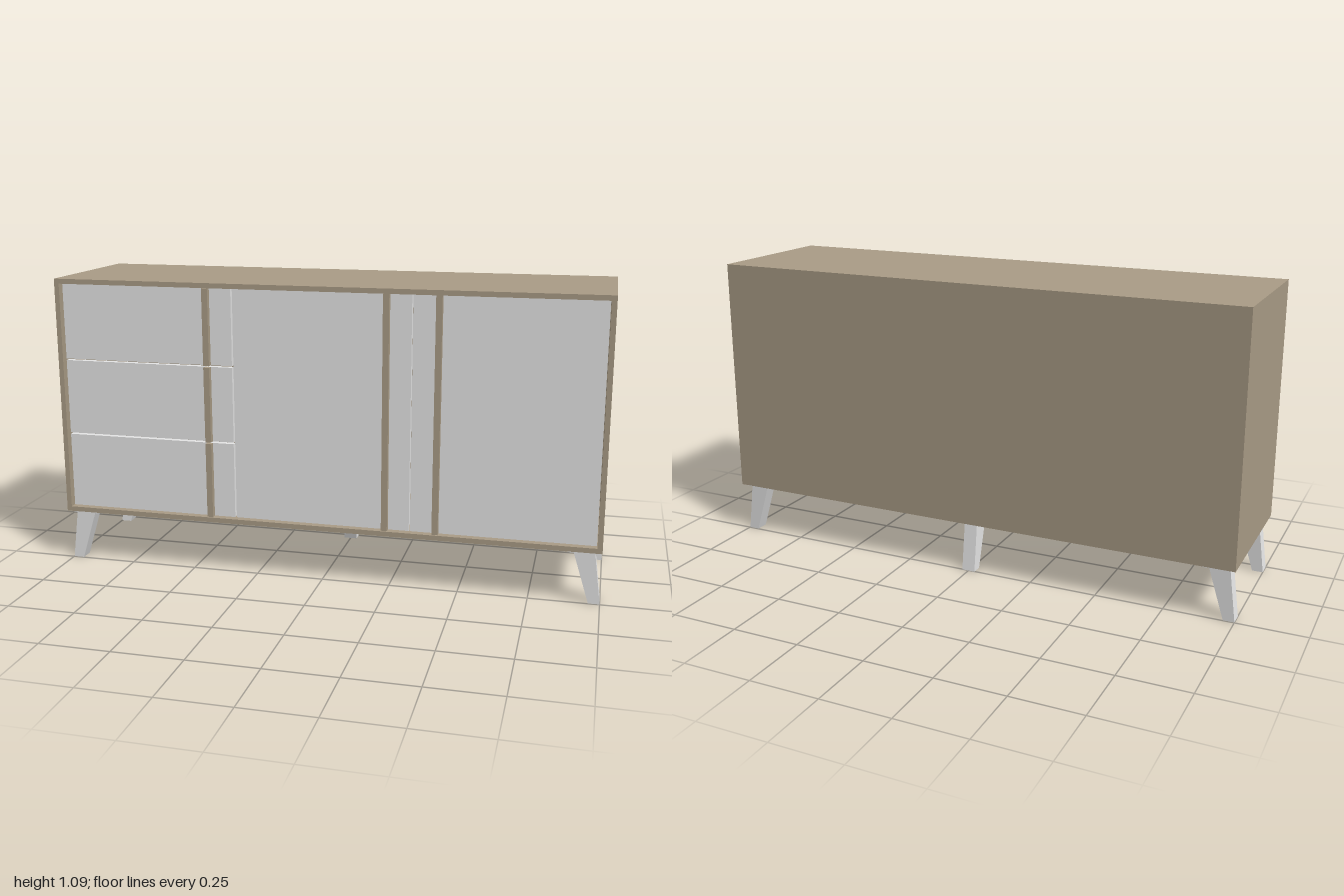
import * as THREE from 'three';

const wood = new THREE.MeshStandardMaterial({ color: 0xab9d87 });
wood.name = 'wood';
const white = new THREE.MeshStandardMaterial({ color: 0xf4f4f4 });
white.name = 'white';

// Box given by its extents along each axis
function slab(name, material, [x0, x1], [y0, y1], [z0, z1]) {
  const mesh = new THREE.Mesh(new THREE.BoxGeometry(x1 - x0, y1 - y0, z1 - z0), material);
  mesh.position.set((x0 + x1) / 2, (y0 + y1) / 2, (z0 + z1) / 2);
  mesh.name = name;
  return mesh;
}

// Tapered leg splayed towards local +x, with its mounting plate
function makeLeg(name, x, z, turn) {
  const leg = new THREE.Group();
  leg.name = name;
  const shape = new THREE.Shape();
  shape.moveTo(0.03, 0);
  shape.lineTo(0.07, 0);
  shape.lineTo(0.045, 0.193);
  shape.lineTo(-0.03, 0.193);
  shape.closePath();
  const geometry = new THREE.ExtrudeGeometry(shape, { depth: 0.05, bevelEnabled: false });
  geometry.translate(0, 0, -0.025);
  const post = new THREE.Mesh(geometry, white);
  post.name = 'legPost';
  leg.add(post, slab('legPlate', white, [-0.048, 0.048], [0.192, 0.199], [-0.048, 0.048]));
  leg.position.set(x, 0, z);
  leg.rotation.y = turn;
  return leg;
}

export function createModel() {
  const model = new THREE.Group();
  model.name = 'sideboard';

  const bottom = 0.198, top = 1.086, t = 0.018, half = 0.28;
  const inner = [bottom + t, top - t];
  const depth = [-half, half];

  // Cabinet shell
  model.add(
    slab('topPanel', wood, [-1, 1], [top - t, top], depth),
    slab('bottomPanel', wood, [-1, 1], [bottom, bottom + t], depth),
    slab('rightSide', wood, [-1, -1 + t], inner, depth),
    slab('leftSide', wood, [1 - t, 1], inner, depth),
    slab('backPanel', wood, [-1 + t, 1 - t], inner, [-half, -half + 0.012]),
  );

  // Recessed fronts, each with an upright handle rail
  const face = [0.235, 0.256];
  const rail = [0.256, 0.276];
  const gap = 0.003;
  function addFront(name, xs, ys, handleX) {
    model.add(
      slab(name, white, xs, ys, face),
      slab(name + 'Handle', wood, [handleX - 0.011, handleX + 0.011], ys, rail),
    );
  }

  // Three stacked drawers
  const step = (inner[1] - inner[0]) / 3;
  for (let i = 0; i < 3; i++) {
    const y = inner[0] + i * step;
    addFront('drawer' + (i + 1), [-0.98, -0.331],
      [y + (i > 0 ? gap : 0.001), y + step - (i < 2 ? gap : 0.001)], -0.422);
  }

  // Two doors
  const doorY = [inner[0] + 0.001, inner[1] - 0.001];
  addFront('middleDoor', [-0.325, 0.322], doorY, 0.235);
  addFront('leftDoor', [0.326, 0.98], doorY, 0.418);

  // Corner legs and a rear centre leg
  for (const z of [0.222, -0.222]) {
    const end = z > 0 ? 'front' : 'back';
    model.add(makeLeg(end + 'LeftLeg', 0.93, z, 0), makeLeg(end + 'RightLeg', -0.93, z, Math.PI));
  }
  model.add(makeLeg('backCentreLeg', 0, -0.182, Math.PI / 2));

  return model;
}
